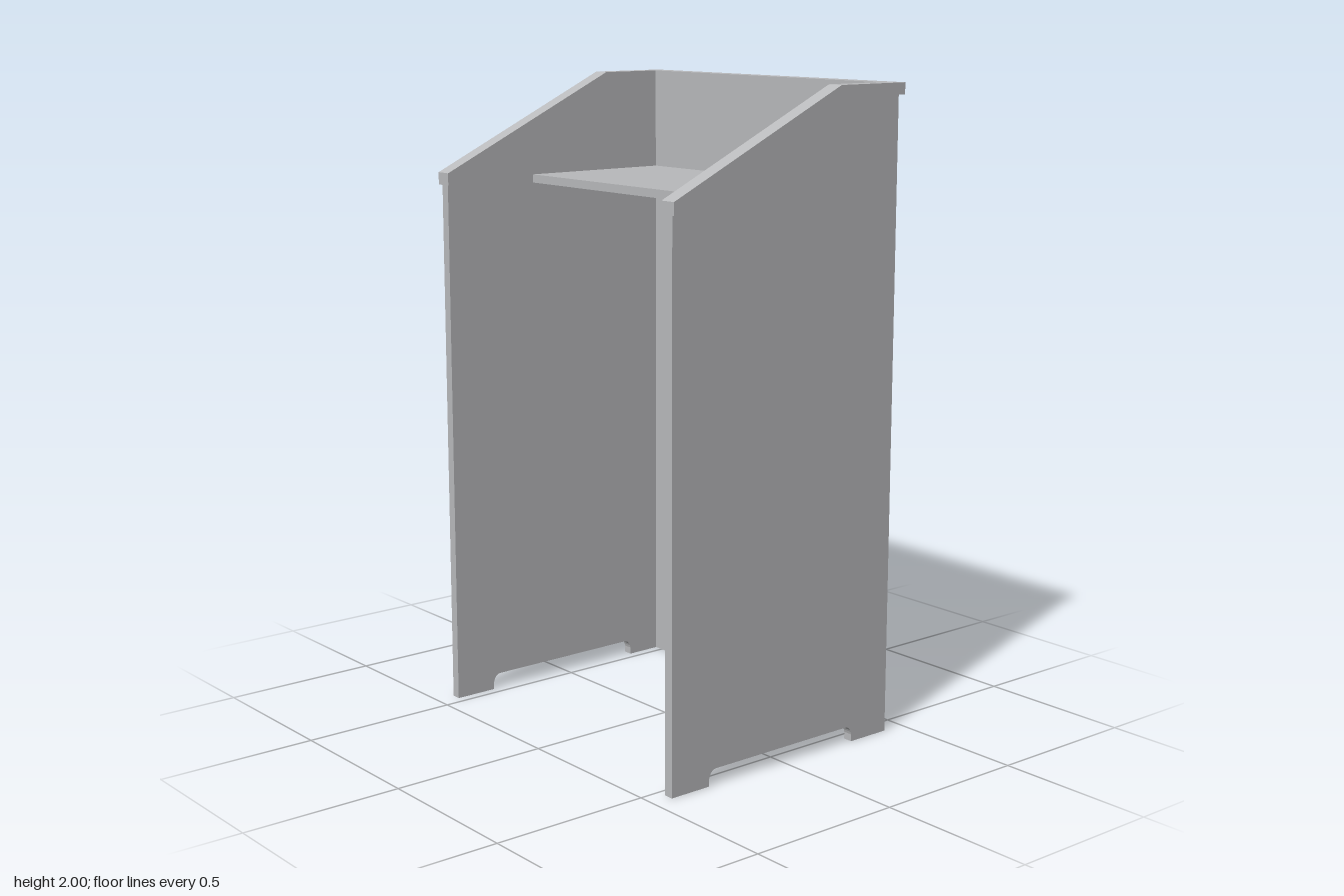
import * as THREE from 'three';

const PANEL = 0.03;            // panel thickness
const BACK = -0.435, FRONT = 0.425, HALF = 0.56;

// Panel outline: straight upper edge points plus a rounded notch between two feet
function panelShape(left, right, topPoints, notchL, notchR) {
  const h = 0.05, r = 0.028;
  const s = new THREE.Shape();
  s.moveTo(left, 0);
  s.lineTo(notchL, 0);
  s.lineTo(notchL, h - r);
  s.quadraticCurveTo(notchL + r * 0.2, h, notchL + r, h);
  s.lineTo(notchR - r, h);
  s.quadraticCurveTo(notchR - r * 0.2, h, notchR, h - r);
  s.lineTo(notchR, 0);
  s.lineTo(right, 0);
  topPoints.forEach(([x, y]) => s.lineTo(x, y));
  s.closePath();
  return s;
}

function extrude(shape, depth) {
  return new THREE.ExtrudeGeometry(shape, { depth, bevelEnabled: false, curveSegments: 6 });
}

export function createModel() {
  const group = new THREE.Group();
  group.name = 'lectern';
  const grey = new THREE.MeshStandardMaterial({ color: 0xb9babc });
  grey.name = 'grey';

  const add = (name, geometry, x = 0, y = 0, z = 0) => {
    const mesh = new THREE.Mesh(geometry, grey);
    mesh.name = name;
    mesh.position.set(x, y, z);
    group.add(mesh);
    return mesh;
  };

  // Side panels with sloping tops
  const sideShape = panelShape(BACK, FRONT, [[FRONT, 1.965], [0.19, 1.965], [BACK, 1.673]], -0.295, 0.28);
  const sideGeometry = extrude(sideShape, PANEL);
  add('leftSidePanel', sideGeometry, 0, 0, HALF - PANEL);
  add('rightSidePanel', sideGeometry, 0, 0, -HALF);

  // Upright closing panel between the sides
  const w = HALF - PANEL;
  const frontGeometry = extrude(panelShape(-w, w, [[w, 1.965], [-w, 1.965]], -0.415, 0.415), PANEL);
  frontGeometry.rotateY(Math.PI / 2);
  add('frontPanel', frontGeometry, FRONT - PANEL);

  // Flat reading shelf
  const shelfEnd = FRONT - PANEL;
  add('shelf', new THREE.BoxGeometry(shelfEnd + 0.11, 0.026, 2 * w), (shelfEnd - 0.11) / 2, 1.672, 0);

  // Overhanging cap rails along the sides and across the front
  const outer = 0.573, inner = 0.52, capFront = 0.438;
  const railShape = new THREE.Shape([
    [-0.44, 1.67], [0.19, 1.965], [capFront, 1.965], [capFront, 2], [0.18, 2], [-0.44, 1.708],
  ].map(([x, y]) => new THREE.Vector2(x, y)));
  const railGeometry = extrude(railShape, outer - inner);
  add('leftCapRail', railGeometry, 0, 0, inner);
  add('rightCapRail', railGeometry, 0, 0, -outer);
  add('frontCapRail', new THREE.BoxGeometry(capFront - 0.385, 0.035, 2 * inner), (capFront + 0.385) / 2, 1.9825, 0);

  return group;
}
